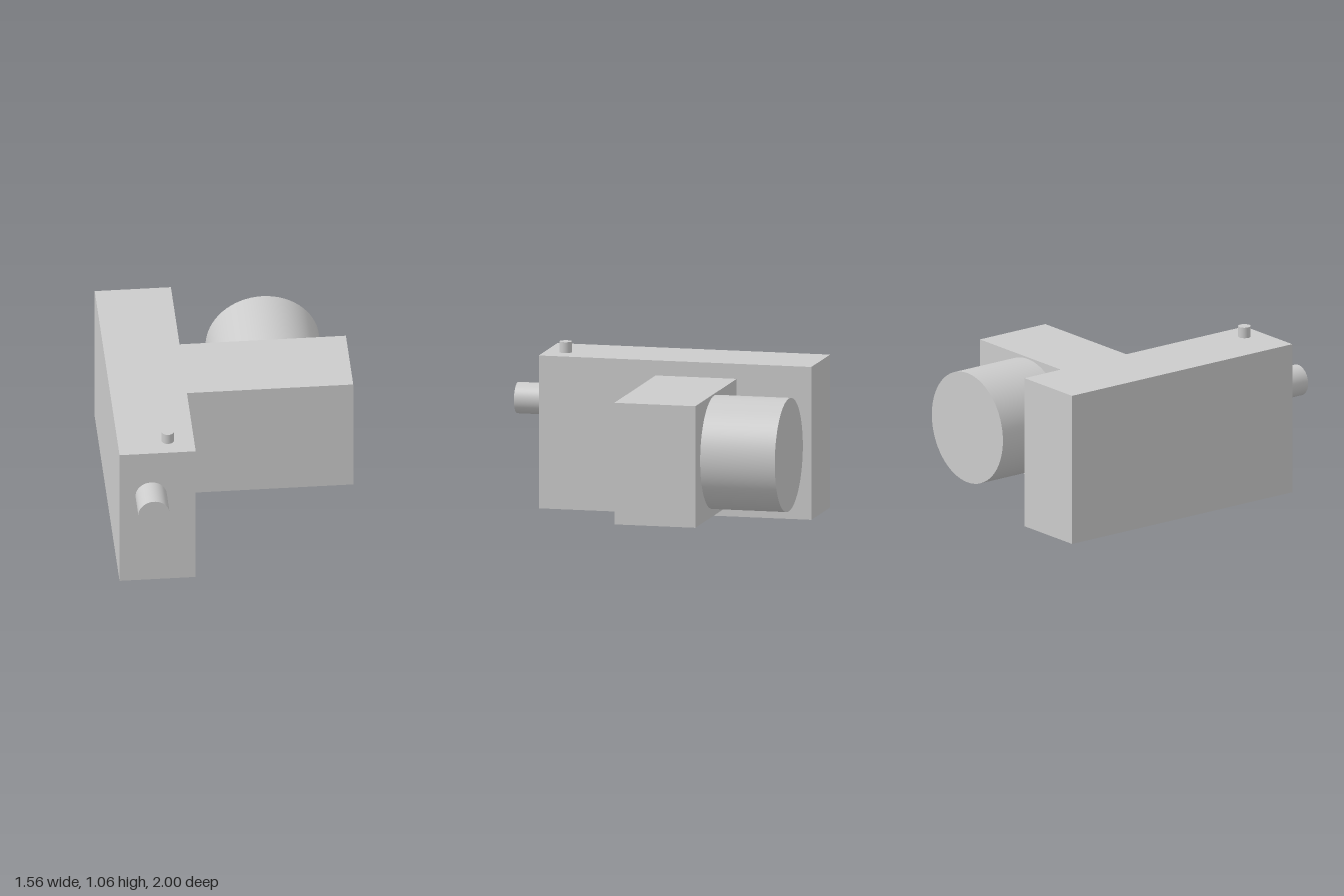
import * as THREE from 'three';

const material = new THREE.MeshStandardMaterial({ color: 0xcccccc });

// Box given by its minimum and maximum corners
function box(name, min, max) {
  const size = max.map((v, i) => v - min[i]);
  const mesh = new THREE.Mesh(new THREE.BoxGeometry(...size), material);
  mesh.position.set(...min.map((v, i) => v + size[i] / 2));
  mesh.name = name;
  return mesh;
}

// Smooth closed cylinder, upright or turned along z
function cylinder(name, radius, length, position, alongZ, sides = 64) {
  const geometry = new THREE.CylinderGeometry(radius, radius, length, sides);
  if (alongZ) geometry.rotateX(Math.PI / 2);
  const mesh = new THREE.Mesh(geometry, material);
  mesh.position.set(...position);
  mesh.name = name;
  return mesh;
}

export function createModel() {
  const model = new THREE.Group();
  model.name = 'blockAssembly';

  // Long upright housing and the shorter block on its left side
  model.add(box('mainHousing', [-0.782, 0, -1], [-0.295, 0.987, 0.79]));
  model.add(box('sideBlock', [-0.295, 0.105, -0.51], [0.78, 0.89, 0.022]));

  // Large drum running through the side block and out of the back
  model.add(cylinder('rearDrum', 0.364, 1.02, [0.29, 0.515, -0.49], true));

  // Stub on the front and small button on top
  model.add(cylinder('frontStub', 0.1, 0.23, [-0.58, 0.66, 0.885], true));
  model.add(cylinder('topButton', 0.04, 0.09, [-0.462, 1.012, 0.655], false, 32));

  return model;
}
